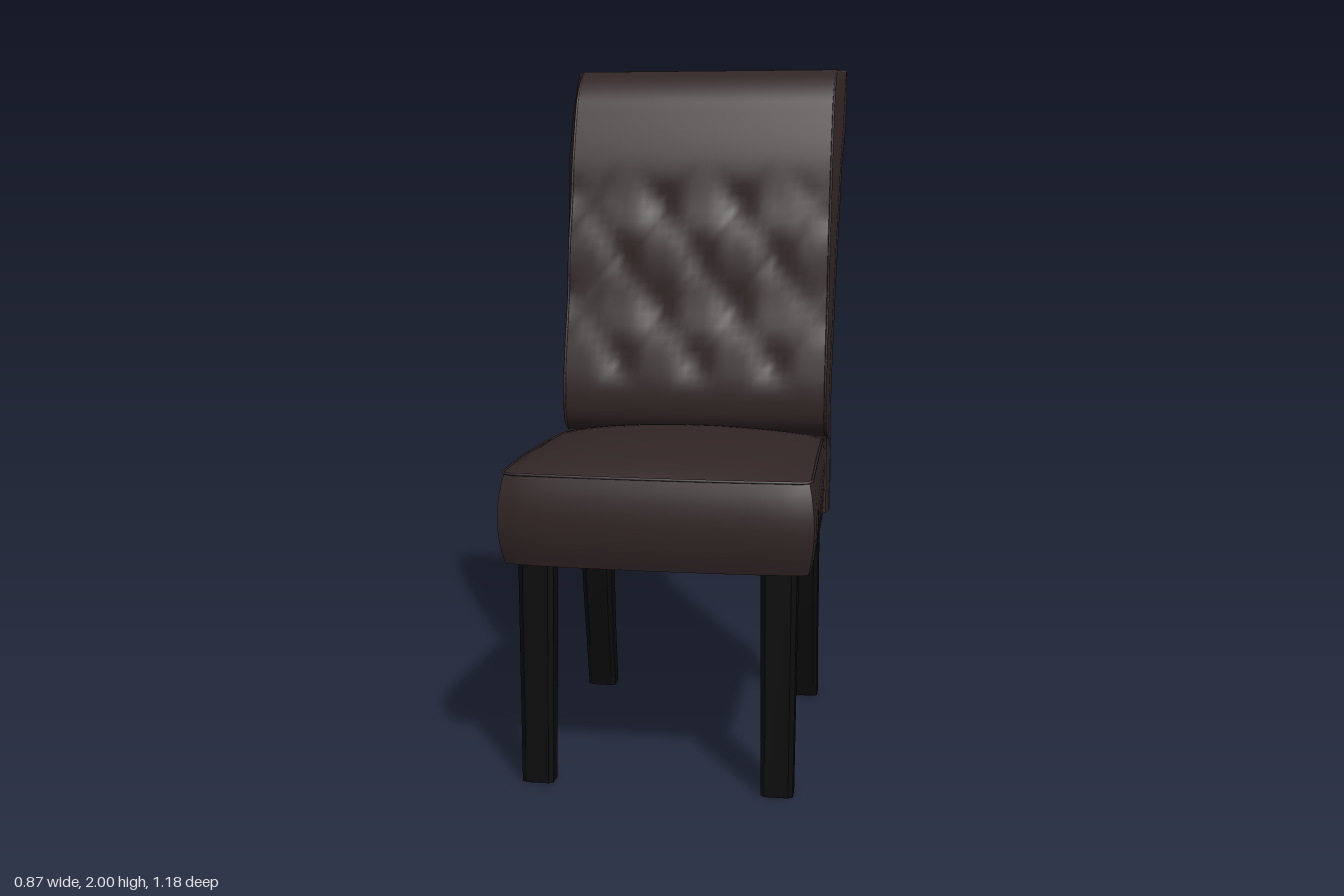
import * as THREE from 'three';
import { toCreasedNormals } from 'three/addons/utils/BufferGeometryUtils.js';

const mat = (name, color) => {
  const m = new THREE.MeshStandardMaterial({ color });
  m.name = name;
  return m;
};
const curve = (pts) => new THREE.CatmullRomCurve3(pts.map(([z, y]) => new THREE.Vector3(0, y, z)));

// Side outline of the backrest as matching [z, y] pairs, bottom to rolled top
const frontPath = curve([[-0.195, 0.63], [-0.195, 0.86], [-0.135, 0.91], [-0.12, 1.0], [-0.14, 1.13],
  [-0.185, 1.3], [-0.205, 1.45], [-0.245, 1.6], [-0.27, 1.72], [-0.31, 1.84], [-0.34, 1.91],
  [-0.39, 1.965], [-0.44, 1.995], [-0.48, 2.0]]);
const backPath = curve([[-0.305, 0.635], [-0.32, 0.75], [-0.325, 0.85], [-0.335, 1.0], [-0.35, 1.1],
  [-0.385, 1.3], [-0.41, 1.45], [-0.43, 1.58], [-0.458, 1.73], [-0.52, 1.755], [-0.565, 1.8],
  [-0.588, 1.87], [-0.575, 1.94], [-0.52, 1.99]]);
const HALF = 0.405;

// Depth of the button tufting and the folds running between buttons
function tuft(x, y) {
  let d = 0;
  for (let row = 0; row < 4; row++) {
    const by = 1.1 + row * 0.16;
    for (let k = -2; k <= 2; k++) {
      const bx = k * 0.24 + (row % 2 ? 0.12 : 0);
      if (Math.abs(bx) > 0.34) continue;
      const dx = x - bx, dy = y - by;
      d = Math.max(d, Math.exp(-(dx * dx + dy * dy * 0.5) / 0.0018));
    }
  }
  const fade = THREE.MathUtils.smoothstep(y, 0.98, 1.12) * (1 - THREE.MathUtils.smoothstep(y, 1.58, 1.72));
  const a = (x / 0.24 + (y - 1.1) / 0.32) * Math.PI, b = (x / 0.24 - (y - 1.1) / 0.32) * Math.PI;
  const folds = Math.max(Math.exp(-(Math.sin(a) ** 2) * 12), Math.exp(-(Math.sin(b) ** 2) * 12));
  return (0.016 * d + 0.006 * folds) * fade;
}

// Backrest: horizontal loops lofted from the base up and over the roll
function backGeometry() {
  const N = 32, S = 64, pos = [], idx = [];
  const ring = (f, b, t, flat) => {
    const bulge = 0.008 + 0.02 * THREE.MathUtils.smoothstep(t, 0.2, 0.75);
    const add = (x, p, dz) => pos.push(x, p.y, p.z + dz);
    for (let i = 0; i <= N; i++) {
      const x = HALF * (2 * i / N - 1);
      add(x, f, flat ? 0 : -tuft(x, f.y));
    }
    for (const k of [0.3, 0.7]) add(HALF + bulge, f.clone().lerp(b, k), 0);
    for (let i = N; i >= 0; i--) {
      const x = HALF * (2 * i / N - 1);
      const seam = b.y < 1.74 ? 0.014 * Math.exp(-((x / 0.02) ** 2)) : 0;
      add(x, b, flat ? 0 : seam);
    }
    for (const k of [0.7, 0.3]) add(-HALF - bulge, f.clone().lerp(b, k), 0);
  };
  for (let s = -1; s <= S + 1; s++) {
    const t = THREE.MathUtils.clamp(s / S, 0, 1), closed = s < 0 || s > S;
    const f = frontPath.getPoint(t), b = backPath.getPoint(t), mid = f.clone().lerp(b, 0.5);
    ring(closed ? mid : f, closed ? mid : b, t, closed);
  }
  const L = 2 * (N + 1) + 4;
  for (let s = 0; s < S + 2; s++) {
    for (let j = 0; j < L; j++) {
      const a = s * L + j, b = s * L + (j + 1) % L;
      idx.push(a, b, b + L, a, b + L, a + L);
    }
  }
  const g = new THREE.BufferGeometry();
  g.setAttribute('position', new THREE.Float32BufferAttribute(pos, 3));
  g.setIndex(idx);
  return toCreasedNormals(g, 0.75);
}

// Seat shape: u, v, w in -1..1 across, up and front to back
function seatPoint(u, v, w) {
  const side = 1 - v * v, taper = (w + 1) / 2;
  const halfX = 0.397 + 0.025 * taper + 0.016 * side * (0.3 + 0.7 * taper);
  const front = 0.558 + 0.022 * side + 0.012 * (1 - u * u);
  const z = THREE.MathUtils.lerp(-0.187, front, taper);
  const crown = v > 0.99 ? 0.058 * (1 - u * u) ** 0.6 * (1 - w * w) ** 0.6 + 0.012 * (1 - w * w) : 0;
  const corner = 1 - 0.02 * Math.max(0, w) ** 8 * Math.abs(u) ** 8;
  return new THREE.Vector3(u * halfX * corner, 0.748 + v * 0.125 + crown, z * (w > 0 ? corner : 1));
}
function seatGeometry() {
  const g = new THREE.BoxGeometry(2, 2, 2, 20, 8, 20), p = g.attributes.position;
  for (let i = 0; i < p.count; i++) {
    const q = seatPoint(p.getX(i), p.getY(i), p.getZ(i));
    p.setXYZ(i, q.x, q.y, q.z);
  }
  return toCreasedNormals(g, 0.7);
}

// Leg through levels of [y, centre z, width x, depth z], with chamfered corners
function legGeometry(levels) {
  const pos = [], idx = [], c = 0.36;
  const corners = [[-c, .5], [c, .5], [.5, c], [.5, -c], [c, -.5], [-c, -.5], [-.5, -c], [-.5, c]];
  const rings = [[...levels[0].slice(0, 2), 0, 0], ...levels, [...levels.at(-1).slice(0, 2), 0, 0]];
  for (const [y, z, wx, wz] of rings) for (const [a, b] of corners) pos.push(a * wx, y, z + b * wz);
  for (let s = 0; s < rings.length - 1; s++) {
    for (let j = 0; j < 8; j++) {
      const a = s * 8 + j, b = s * 8 + (j + 1) % 8;
      idx.push(a, b, b + 8, a, b + 8, a + 8);
    }
  }
  const g = new THREE.BufferGeometry();
  g.setAttribute('position', new THREE.Float32BufferAttribute(pos, 3));
  g.setIndex(idx);
  return toCreasedNormals(g, 0.5);
}

export function createModel() {
  const chair = new THREE.Group();
  chair.name = 'diningChair';
  const leather = mat('dark brown leather', 0x312525);
  const wood = mat('black wood', 0x0b0b0b);
  const lining = mat('olive lining', 0x3a301e);
  const add = (name, geo, material) => {
    const m = new THREE.Mesh(geo, material);
    m.name = name;
    chair.add(m);
    return m;
  };

  add('backrest', backGeometry(), leather);
  add('seatCushion', seatGeometry(), leather);

  // Piping along the seat's top edge
  const edge = [];
  for (const [u0, w0, du, dw] of [[-1, 1, 1, 0], [1, 1, 0, -1], [1, -1, -1, 0], [-1, -1, 0, 1]]) {
    for (let i = 0; i < 10; i++) edge.push(seatPoint(u0 + du * i / 5, 1, w0 + dw * i / 5));
  }
  add('seatPiping', new THREE.TubeGeometry(new THREE.CatmullRomCurve3(edge, true), 120, 0.004, 6, true), leather);

  // Piping along both front edges of the backrest
  for (const s of [-1, 1]) {
    const pts = [];
    for (let i = 0; i <= 30; i++) pts.push(frontPath.getPoint(0.12 + 0.86 * i / 30).setX(s * HALF).add(new THREE.Vector3(0, -0.003, 0)));
    add(s > 0 ? 'leftBackPiping' : 'rightBackPiping',
      new THREE.TubeGeometry(new THREE.CatmullRomCurve3(pts), 60, 0.004, 6), leather);
  }

  // Lining under the seat
  add('seatLining', new THREE.BoxGeometry(0.72, 0.006, 0.66), lining).position.set(0, 0.622, 0.185);

  // Straight front legs and swept rear legs
  const frontLeg = legGeometry([[0, 0.515, 0.088, 0.06], [0.63, 0.5, 0.098, 0.08]]);
  const rearLeg = legGeometry([[0, -0.332, 0.088, 0.06], [0.18, -0.298, 0.09, 0.066], [0.34, -0.272, 0.094, 0.072],
    [0.48, -0.256, 0.096, 0.076], [0.65, -0.246, 0.098, 0.08]]);
  for (const s of [-1, 1]) {
    const side = s > 0 ? 'left' : 'right';
    add(side + 'FrontLeg', frontLeg, wood).position.x = s * 0.333;
    add(side + 'RearLeg', rearLeg, wood).position.x = s * 0.333;
  }
  return chair;
}
